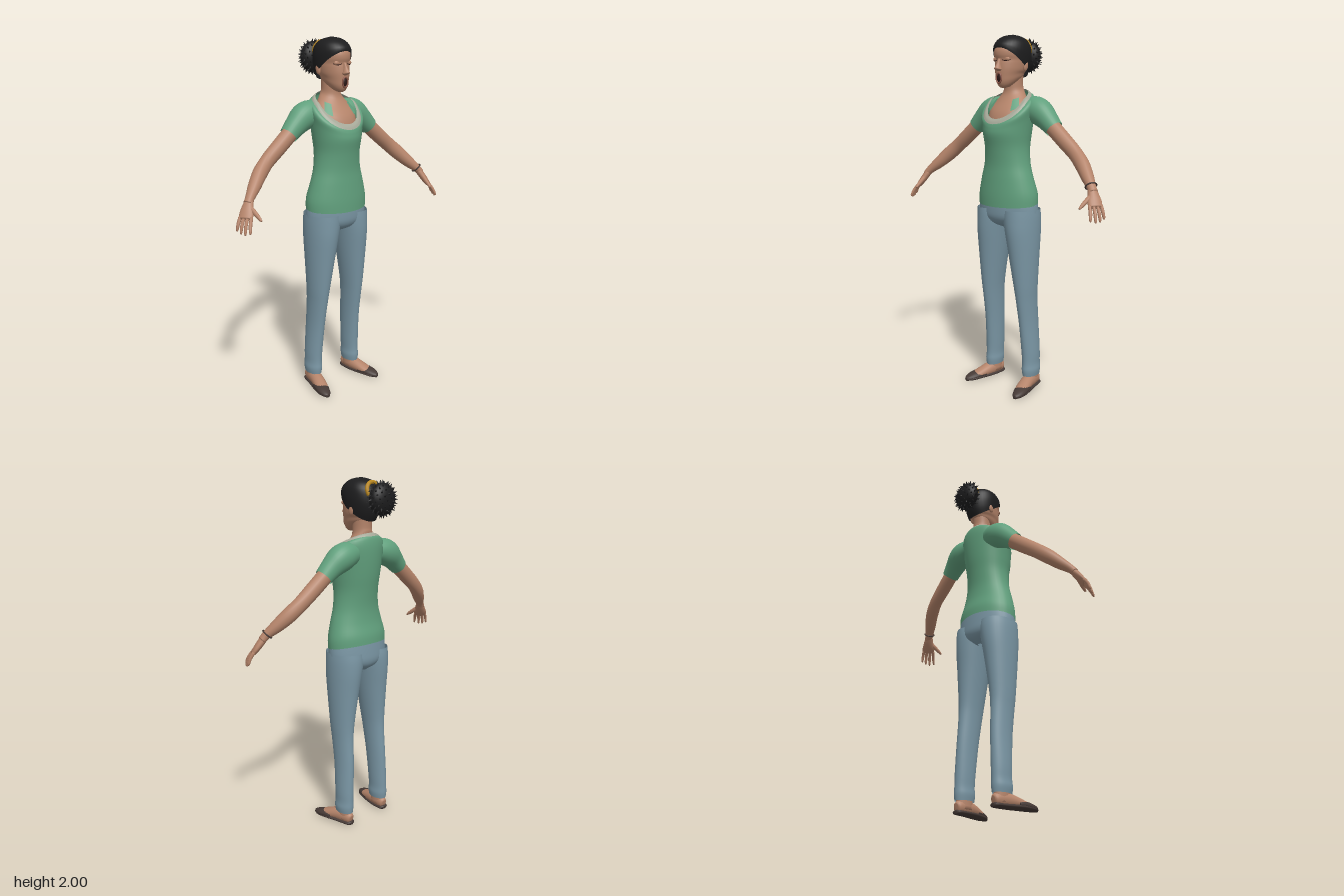
import * as THREE from 'three';

const mat = (name, color, side = THREE.FrontSide) => {
  const m = new THREE.MeshStandardMaterial({ color, side });
  m.name = name;
  return m;
};

// Catmull-Rom smoothing of rows of numbers
function smooth(rows, n = 4) {
  const out = [], at = i => rows[Math.min(Math.max(i, 0), rows.length - 1)];
  for (let i = 0; i < rows.length - 1; i++) {
    for (let k = 0; k < n; k++) {
      const t = k / n;
      out.push(rows[i].map((b, j) => {
        const a = at(i - 1)[j], c = at(i + 1)[j], d = at(i + 2)[j];
        return b + 0.5 * t * (c - a + t * (2 * a - 5 * b + 4 * c - d + t * (3 * (b - c) + d - a)));
      }));
    }
  }
  out.push(rows[rows.length - 1]);
  return out;
}

// Surface through rings of points, optionally closed around and capped
function skin(rings, closed = true, caps = true) {
  const n = rings[0].length;
  if (caps) {
    const mid = r => {
      const c = r.reduce((s, p) => s.add(p), new THREE.Vector3()).divideScalar(n);
      return r.map(() => c);
    };
    rings = [mid(rings[0]), ...rings, mid(rings[rings.length - 1])];
  }
  const pos = rings.flat().flatMap(p => [p.x, p.y, p.z]), idx = [];
  for (let i = 0; i < rings.length - 1; i++) {
    for (let j = 0; j < (closed ? n : n - 1); j++) {
      const a = i * n + j, b = i * n + (j + 1) % n;
      idx.push(a, b, a + n, b, b + n, a + n);
    }
  }
  const g = new THREE.BufferGeometry();
  g.setAttribute('position', new THREE.Float32BufferAttribute(pos, 3));
  g.setIndex(idx);
  g.computeVertexNormals();
  return g;
}

// Upright body form, bottom to top: [halfWidth, zFront, zBack, yFront, ySide, yBack, centreX]
function body(rows, { caps = true, from = 0, to = Math.PI * 2, seg = 36 } = {}) {
  const full = to - from > 6.28;
  const rings = smooth(rows.map(([w, zf, zb, yf, ys = yf, yb = ys, cx = 0]) => [w, zf, zb, yf, ys, yb, cx]))
    .map(([w, zf, zb, yf, ys, yb, cx]) => Array.from({ length: full ? seg : seg + 1 }, (_, i) => {
      const a = from + (to - from) * i / seg, t = Math.cos(a);
      return new THREE.Vector3(cx + w * Math.sin(a),
        ys + (t > 0 ? (yf - ys) * t : (ys - yb) * t), (zf + zb) / 2 + t * (zf - zb) / 2);
    }));
  return skin(rings, full, caps);
}

// Limb along a path: [x, y, z, sideRadius, heightRadius]
function limb(rows, sx = 1, caps = true, seg = 18) {
  const r = smooth(rows), p = r.map(q => new THREE.Vector3(q[0] * sx, q[1], q[2]));
  const up = new THREE.Vector3(0, 1, 0);
  return skin(p.map((c, i) => {
    const d = p[Math.min(i + 1, p.length - 1)].clone().sub(p[Math.max(i - 1, 0)]).normalize();
    const s = d.clone().cross(up).normalize(), u = d.clone().cross(s);
    return Array.from({ length: seg }, (_, k) => {
      const a = k / seg * Math.PI * 2;
      return c.clone().addScaledVector(s, Math.cos(a) * r[i][3]).addScaledVector(u, Math.sin(a) * r[i][4]);
    });
  }), true, caps);
}

export function createModel() {
  const model = new THREE.Group();
  const M = {
    skin: mat('skin', 0xb5846a), shirt: mat('green shirt', 0x61a07d, THREE.DoubleSide),
    trim: mat('pale trim', 0xa5a898, THREE.DoubleSide), denim: mat('denim', 0x7a96a4, THREE.DoubleSide),
    hair: mat('black hair', 0x1d1d1e, THREE.DoubleSide), shoe: mat('dark brown', 0x463a36),
    gold: mat('gold', 0xb8871f), mouth: mat('mouth dark', 0x2c1816), lips: mat('lips', 0x8f5a4a),
  };
  const add = (name, geo, m, parent = model) => {
    const mesh = new THREE.Mesh(geo, m);
    mesh.name = name;
    parent.add(mesh);
    return mesh;
  };

  // Shirt with a scooped collar
  add('shirt', body([
    [.19, .165, -.085, 1.065, 1.075, 1.10], [.188, .165, -.082, 1.13, 1.135, 1.15],
    [.166, .160, -.066, 1.22], [.143, .156, -.060, 1.30], [.133, .164, -.069, 1.39],
    [.141, .177, -.083, 1.46, 1.47, 1.48], [.152, .175, -.092, 1.495, 1.55, 1.57],
    [.163, .171, -.094, 1.512, 1.615, 1.64], [.155, .168, -.088, 1.520, 1.640, 1.685],
    [.135, .163, -.076, 1.528, 1.642, 1.702]], { caps: false }), M.shirt);
  add('collar', body([[.141, .171, -.083, 1.520, 1.638, 1.695], [.130, .163, -.072, 1.535, 1.652, 1.708],
    [.115, .150, -.064, 1.548, 1.657, 1.712]], { caps: false }), M.trim);

  // Chest and neck
  add('chestAndNeck', body([
    [.120, .150, -.055, 1.49, 1.55, 1.58], [.108, .128, -.057, 1.575, 1.628, 1.66],
    [.078, .078, -.058, 1.645, 1.672, 1.695], [.056, .052, -.060, 1.69, 1.705, 1.72],
    [.052, .050, -.058, 1.74], [.054, .050, -.060, 1.79]]), M.skin);
  for (const s of [1, -1]) {
    add('innerStrap', body([[.111, .132, -.057, 1.577, 1.631, 1.66], [.084, .085, -.058, 1.645, 1.675, 1.695]],
      { caps: false, from: s * 0.95 - .24, to: s * 0.95 + .24, seg: 8 }), M.shirt);
  }

  // Jeans
  add('jeansHips', body([[.02, .06, -.03, .935], [.13, .125, -.068, .965], [.185, .152, -.083, 1.0],
    [.192, .158, -.083, 1.05], [.185, .157, -.078, 1.12]], { caps: false }), M.denim);

  for (const s of [1, -1]) {
    const leg = (w, zf, zb, y, cx) => [w, zf, zb, y, y, y, cx * s];
    add('jeansLeg', body([
      leg(.040, .064, -.058, .075, .140), leg(.045, .068, -.062, .11, .140), leg(.042, .065, -.061, .15, .139),
      leg(.044, .068, -.061, .22, .137), leg(.044, .083, -.058, .38, .130), leg(.049, .103, -.050, .52, .126),
      leg(.058, .117, -.050, .62, .123), leg(.077, .139, -.066, .80, .113), leg(.089, .153, -.080, .92, .105),
      leg(.096, .156, -.084, 1.0, .098), leg(.094, .155, -.080, 1.05, .097)], { caps: false }), M.denim);

    // Foot and flat shoe
    const foot = new THREE.Group();
    foot.name = 'foot';
    model.add(foot);
    add('ankle', body([leg(.034, .055, -.05, .03, .14), leg(.032, .05, -.05, .12, .14)]), M.skin, foot);
    add('footSkin', limb([[.137, .038, -.057, .014, .02], [.138, .040, -.045, .027, .032], [.142, .044, 0, .034, .040],
      [.150, .042, .05, .037, .037], [.165, .032, .11, .037, .026], [.180, .022, .16, .031, .016]], s), M.skin, foot);
    add('shoeSole', limb([[.137, .012, -.063, .012, .009], [.138, .013, -.050, .030, .013], [.143, .013, 0, .037, .013],
      [.152, .014, .05, .040, .014], [.168, .015, .11, .041, .015], [.182, .013, .17, .034, .013],
      [.188, .011, .207, .012, .009]], s), M.shoe, foot);
    add('shoeToe', limb([[.161, .024, .085, .040, .022], [.168, .026, .11, .040, .024], [.180, .022, .155, .037, .021],
      [.186, .016, .19, .025, .015], [.188, .012, .206, .011, .010]], s), M.shoe, foot);

    // Sleeve and arm
    add('sleeve', limb([[.09, 1.605, -.02, .06, .060], [.14, 1.598, -.022, .070, .073], [.185, 1.578, -.020, .069, .073],
      [.235, 1.540, -.014, .058, .060], [.282, 1.497, -.009, .050, .050]], s, false, 28), M.shirt);
    add('arm', limb([[.22, 1.55, -.012, .042, .045], [.29, 1.49, -.008, .042, .044], [.36, 1.432, -.003, .040, .043],
      [.43, 1.375, .004, .037, .041], [.49, 1.322, .025, .038, .041], [.545, 1.268, .058, .034, .034],
      [.59, 1.225, .088, .025, .024], [.612, 1.198, .100, .025, .021]], s), M.skin);

    // Hand with four fingers and a thumb
    const hand = new THREE.Group();
    hand.name = 'hand';
    model.add(hand);
    add('palm', limb([[.600, 1.212, .095, .023, .020], [.616, 1.185, .106, .030, .020],
      [.633, 1.155, .120, .038, .018], [.648, 1.130, .132, .036, .014]], s), M.skin, hand);
    for (let i = 0; i < 4; i++) {
      const o = (i - 1.5) * .02, len = [.85, 1, 1.05, .95][i];
      const x = .645 - o * .6, z = .130 + o * .8, sp = o * .35;
      add('finger', limb([[x, 1.138, z, .009, .010], [x + .020 * len, 1.138 - .035 * len, z + .014 + sp * .5, .009, .009],
        [x + .030 * len, 1.138 - .066 * len, z + .022 + sp, .007, .007],
        [x + .032 * len, 1.138 - .077 * len, z + .024 + sp, .003, .003]], s, true, 8), M.skin, hand);
    }
    add('thumb', limb([[.612, 1.185, .112, .012, .014], [.605, 1.160, .150, .012, .013],
      [.600, 1.138, .182, .009, .010], [.598, 1.125, .200, .005, .005]], s, true, 10), M.skin, hand);
  }

  // Bracelet on the left wrist
  const bracelet = add('bracelet', new THREE.TorusGeometry(.029, .004, 8, 28), M.shoe);
  bracelet.position.set(.588, 1.227, .087);
  bracelet.quaternion.setFromUnitVectors(new THREE.Vector3(0, 0, 1), new THREE.Vector3(.55, -.72, .35).normalize());

  // Head
  const head = new THREE.Group();
  head.name = 'head';
  model.add(head);
  add('face', body([
    [.020, .085, .010, 1.712, 1.722, 1.735], [.044, .103, -.025, 1.720, 1.742, 1.76],
    [.060, .115, -.060, 1.743, 1.768, 1.78], [.067, .118, -.068, 1.775, 1.792, 1.795],
    [.076, .119, -.080, 1.812], [.081, .116, -.090, 1.845], [.083, .113, -.094, 1.865],
    [.087, .119, -.098, 1.89], [.087, .115, -.098, 1.92], [.075, .090, -.085, 1.955], [.04, .05, -.05, 1.98]]), M.skin, head);
  add('nose', body([[.010, .124, .100, 1.803], [.020, .142, .100, 1.811], [.017, .148, .100, 1.820],
    [.010, .133, .100, 1.842], [.008, .120, .100, 1.868]], { seg: 16 }), M.skin, head);

  // Open mouth
  const mouth = add('openMouth', new THREE.SphereGeometry(1, 20, 14), M.mouth, head);
  mouth.position.set(0, 1.766, .112);
  mouth.scale.set(.016, .026, .011);
  const lips = add('lips', new THREE.TorusGeometry(.021, .0045, 8, 28), M.lips, head);
  lips.position.set(0, 1.766, .118);
  lips.scale.set(.85, 1.25, 1.2);

  // Closed eyes and ears
  for (const s of [1, -1]) {
    const lid = add('eyelid', new THREE.SphereGeometry(1, 16, 10), M.skin, head);
    lid.position.set(.038 * s, 1.866, .096);
    lid.scale.set(.020, .013, .011);
    const lash = new THREE.CatmullRomCurve3([[.018, 1.862, .110], [.038, 1.857, .107], [.059, 1.863, .090]]
      .map(([x, y, z]) => new THREE.Vector3(x * s, y, z)));
    add('eyelashes', new THREE.TubeGeometry(lash, 12, .0022, 6), M.mouth, head);
    const ear = add('ear', new THREE.SphereGeometry(1, 16, 12), M.skin, head);
    ear.position.set(.083 * s, 1.832, -.008);
    ear.scale.set(.011, .029, .017);
    ear.rotation.x = -.2;
  }

  // Swept-back hair
  add('hair', body([[.090, .121, -.082, 1.927, 1.842, 1.772], [.095, .121, -.102, 1.938, 1.870, 1.815],
    [.097, .114, -.112, 1.953, 1.910, 1.875], [.087, .090, -.102, 1.974, 1.953, 1.94],
    [.055, .052, -.065, 1.992, 1.986, 1.98], [.001, .001, -.001, 2.0]], { caps: false }), M.hair, head);
  const band = add('hairBand', new THREE.TorusGeometry(.046, .011, 10, 28), M.gold, head);
  band.position.set(0, 1.932, -.092);
  band.rotation.x = .3;

  // Spiky tied puff
  const puff = new THREE.Group();
  puff.name = 'hairPuff';
  puff.position.set(-.012, 1.89, -.143);
  head.add(puff);
  const core = add('puffCore', new THREE.IcosahedronGeometry(1, 4), M.hair, puff);
  core.scale.set(.082, .086, .052);
  const count = 110, spike = new THREE.ConeGeometry(.011, .036, 5);
  for (let i = 0; i < count; i++) {
    const y = 1 - 2 * (i + .5) / count, a = i * 2.39996, r = Math.sqrt(1 - y * y);
    const d = new THREE.Vector3(r * Math.cos(a), y, r * Math.sin(a));
    const tuft = add('puffTuft', spike, M.hair, puff);
    tuft.position.set(d.x * .082, d.y * .085, d.z * .05);
    d.x += .35 * Math.sin(i * 7.1);
    d.y += .35 * Math.sin(i * 4.3);
    tuft.quaternion.setFromUnitVectors(new THREE.Vector3(0, 1, 0), d.normalize());
  }
  return model;
}
